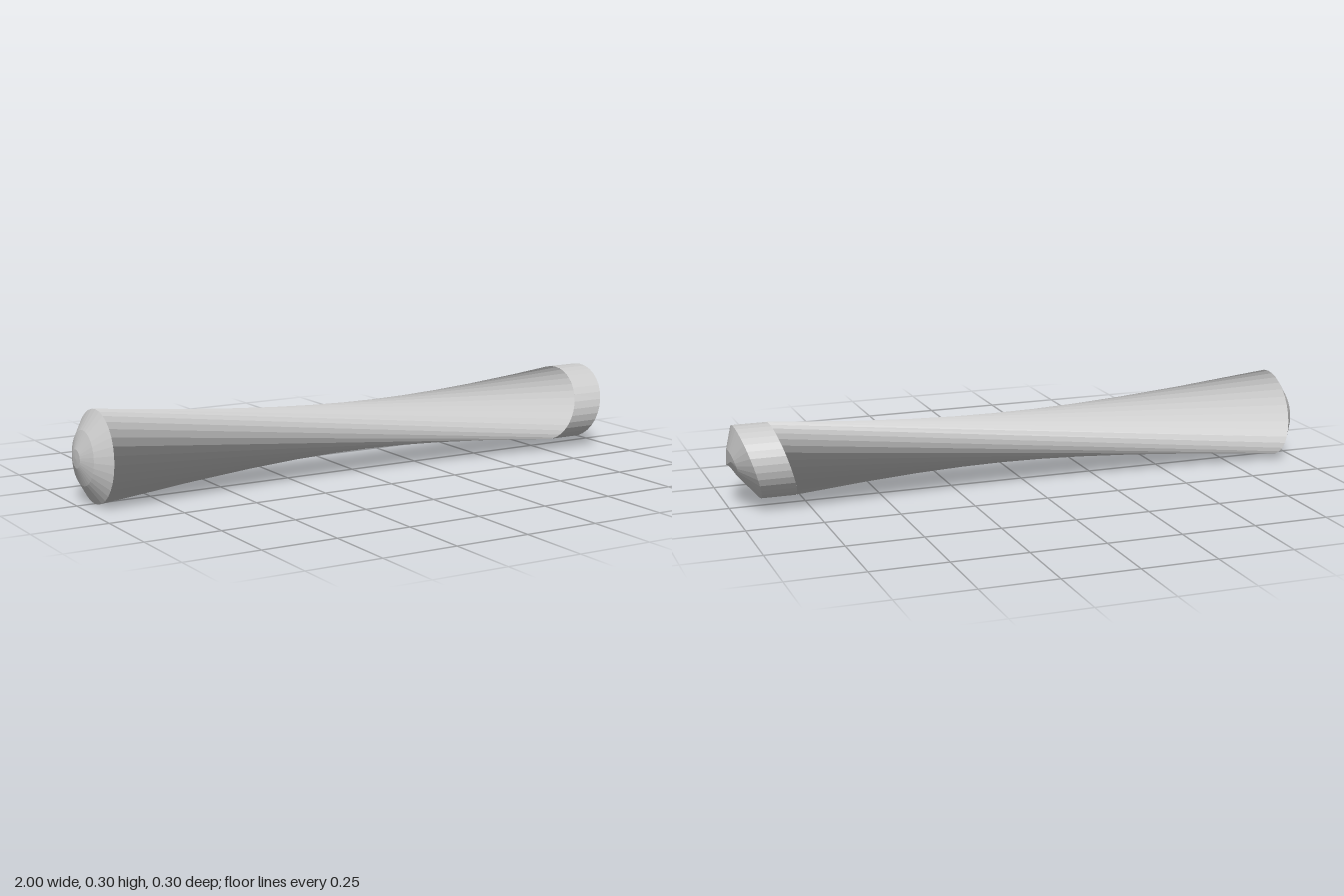
import * as THREE from 'three';

const SIDES = 32;
const TWIST = THREE.MathUtils.degToRad(106);
const MID_Y = 0.15;

// Round ring across the x axis; angle 0 is up, turning towards +z
function roundRing(x, radius, slant = 0) {
  return (a) => [x + slant * Math.cos(a), MID_Y + radius * Math.cos(a), radius * Math.sin(a)];
}

// Skewed oval ring, leaning along x
function ovalRing(x, ry, rz, skew, slant) {
  return (a) => [
    x + slant * Math.cos(a),
    MID_Y + ry * Math.cos(a),
    rz * Math.sin(a) - skew * Math.cos(a),
  ];
}

// Straight-ruled skin through rings ordered by rising x.
// Each four-cornered panel is shaded as one face, with the normal across its diagonals.
function loft(name, rings) {
  const positions = [], normals = [];
  for (let r = 0; r < rings.length - 1; r++) {
    for (let i = 0; i < SIDES; i++) {
      const a0 = (i / SIDES) * Math.PI * 2;
      const a1 = ((i + 1) / SIDES) * Math.PI * 2;
      const [p, q, t, s] = [rings[r](a0), rings[r](a1), rings[r + 1](a1), rings[r + 1](a0)]
        .map((c) => new THREE.Vector3(...c));
      const normal = t.clone().sub(p).cross(s.clone().sub(q)).normalize();
      for (const corner of [p, q, t, p, t, s]) {
        positions.push(...corner);
        normals.push(...normal);
      }
    }
  }
  const geometry = new THREE.BufferGeometry();
  geometry.setAttribute('position', new THREE.Float32BufferAttribute(positions, 3));
  geometry.setAttribute('normal', new THREE.Float32BufferAttribute(normals, 3));
  const material = new THREE.MeshStandardMaterial({ color: 0xcccccc, side: THREE.DoubleSide });
  const mesh = new THREE.Mesh(geometry, material);
  mesh.name = name;
  return mesh;
}

export function createModel() {
  const group = new THREE.Group();
  group.name = 'twistedRod';

  const wideRim = roundRing(-0.935, 0.15, 0.006);
  const collarInner = ovalRing(0.825, 0.125, 0.148, 0.02, 0.04);
  const collarOuter = ovalRing(0.94, 0.125, 0.148, 0.02, 0.04);

  // Domed end on the round side
  group.add(loft('roundEndCap', [
    roundRing(-1, 0),
    roundRing(-0.998, 0.03),
    roundRing(-0.976, 0.088, 0.003),
    wideRim,
  ]));

  // Waisted shaft: straight rulings joining two rings turned against each other
  group.add(loft('twistedShaft', [wideRim, (a) => collarInner(a + TWIST)]));

  // Slanted oval collar
  group.add(loft('slantedCollar', [collarInner, collarOuter]));

  // Shallow oval cap closing on a short tilted ridge
  const ridge = (a) => [0.997, MID_Y - 0.017 * Math.sin(a), 0.042 * Math.sin(a)];
  group.add(loft('slantedEndCap', [
    collarOuter,
    ovalRing(0.984, 0.048, 0.072, 0.018, 0.016),
    ridge,
  ]));

  return group;
}
